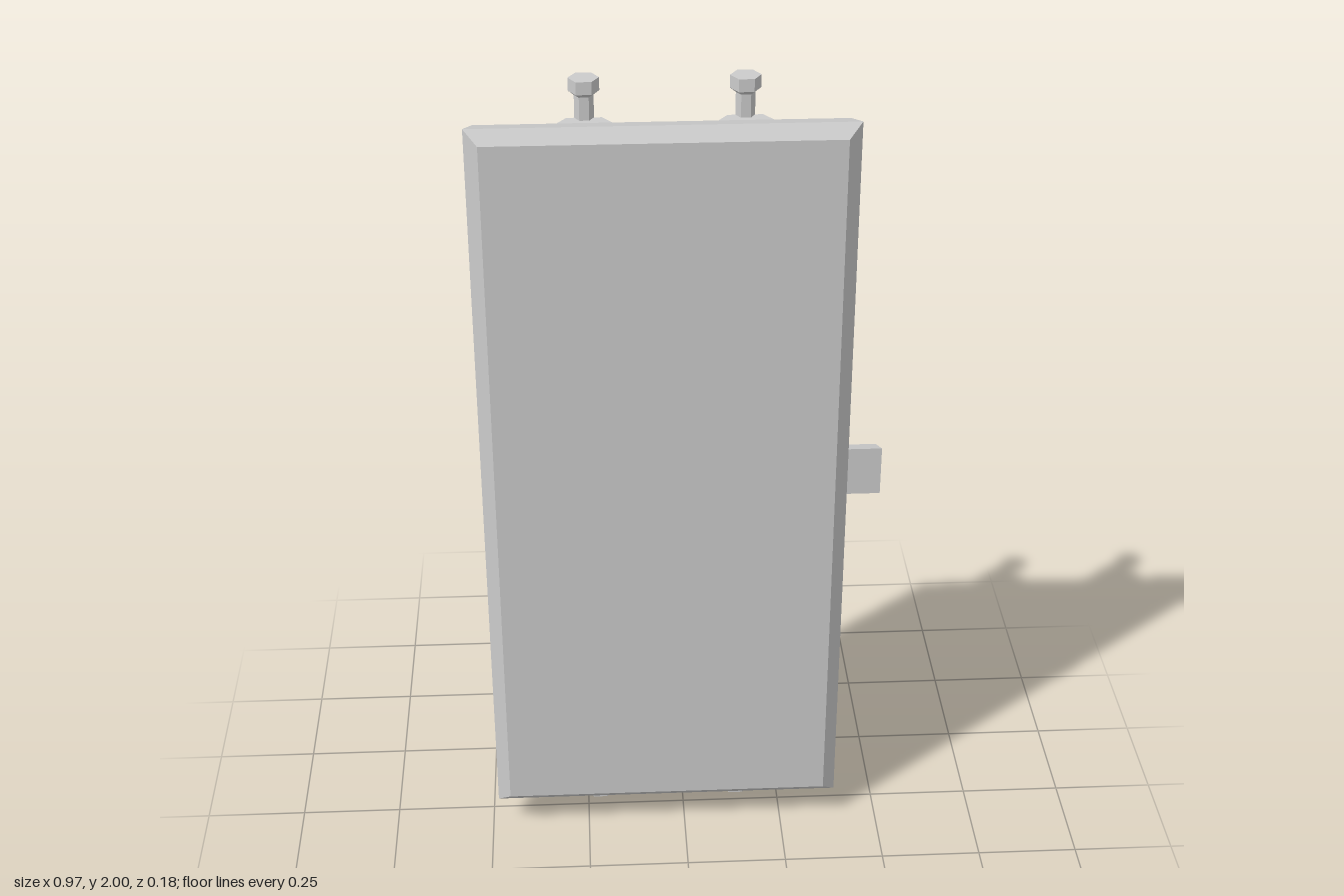
import * as THREE from 'three';

const material = new THREE.MeshStandardMaterial({ color: 0xcccccc, flatShading: true });

function addMesh(parent, geometry, name) {
  const mesh = new THREE.Mesh(geometry, material);
  mesh.name = name;
  parent.add(mesh);
  return mesh;
}

// Solid lofted through rectangles [halfWidth, halfHeight, z], listed from back to front
function rectLoft(rings) {
  const corners = rings.map(([w, h, z]) => [[-w, -h, z], [w, -h, z], [w, h, z], [-w, h, z]]);
  const positions = [];
  const quad = (a, b, c, d) => positions.push(...a, ...b, ...c, ...a, ...c, ...d);
  for (let r = 0; r < corners.length - 1; r++) {
    const a = corners[r], b = corners[r + 1];
    for (let i = 0; i < 4; i++) {
      const j = (i + 1) % 4;
      quad(a[i], a[j], b[j], b[i]);
    }
  }
  const first = corners[0], last = corners[corners.length - 1];
  quad(first[3], first[2], first[1], first[0]);
  quad(...last);
  const geometry = new THREE.BufferGeometry();
  geometry.setAttribute('position', new THREE.Float32BufferAttribute(positions, 3));
  geometry.computeVertexNormals();
  return geometry;
}

// Six-sided lathe along y with two corners on the x axis
function hexLathe(profile) {
  const points = profile.map(([r, y]) => new THREE.Vector2(r, y));
  return new THREE.LatheGeometry(points, 6, Math.PI / 2);
}

// Locking bar with end caps, collar, brackets, handle and handle rest
function lockingBar() {
  const bar = new THREE.Group();
  bar.name = 'lockingBar';

  const rod = addMesh(bar, hexLathe([
    [0, 0], [0.035, 0], [0.035, 0.03], [0.022, 0.04],
    [0.022, 0.715], [0.035, 0.725], [0.035, 0.783], [0.022, 0.793],
    [0.022, 1.96], [0.035, 1.97], [0.035, 2], [0, 2],
  ]), 'lockingRod');
  rod.position.z = -0.058;

  for (const y of [0.122, 1.888]) {
    const bracket = addMesh(bar, rectLoft([[0.04, 0.018, -0.058], [0.08, 0.018, 0.001]]), 'rodBracket');
    bracket.position.y = y;
  }

  // Handle pointing towards -x
  const handle = addMesh(bar, hexLathe([
    [0, 0], [0.014, 0], [0.014, 0.215], [0.022, 0.223], [0.022, 0.249], [0, 0.249],
  ]), 'handle');
  handle.rotation.set(Math.PI / 2, 0, Math.PI / 2, 'ZYX');
  handle.rotation.set(0, Math.PI / 2, Math.PI / 2, 'ZYX');
  handle.position.set(0, 0.845, -0.039);

  const rest = addMesh(bar, rectLoft([[0.02, 0.047, -0.037], [0.02, 0.087, 0.031]]), 'handleRest');
  rest.position.set(-0.119, 0.843, 0);
  return bar;
}

export function createModel() {
  const model = new THREE.Group();
  model.name = 'containerDoor';

  // Door slab: recessed back panel, frame rim, bevelled sides and front
  const door = addMesh(model, rectLoft([
    [0.343, 0.837, 0.03], [0.353, 0.848, 0], [0.419, 0.913, 0],
    [0.438, 0.928, 0.06], [0.406, 0.898, 0.09],
  ]), 'doorPanel');
  door.position.set(-0.046, 1.003, 0);

  for (const x of [-0.218, 0.142]) {
    const bar = lockingBar();
    bar.position.x = x;
    model.add(bar);
  }

  // Stop plate reaching past the door's edge
  const stop = addMesh(model, rectLoft([[0.079, 0.052, -0.045], [0.089, 0.063, -0.003]]), 'stopPlate');
  stop.position.set(0.393, 1.002, 0);

  return model;
}
